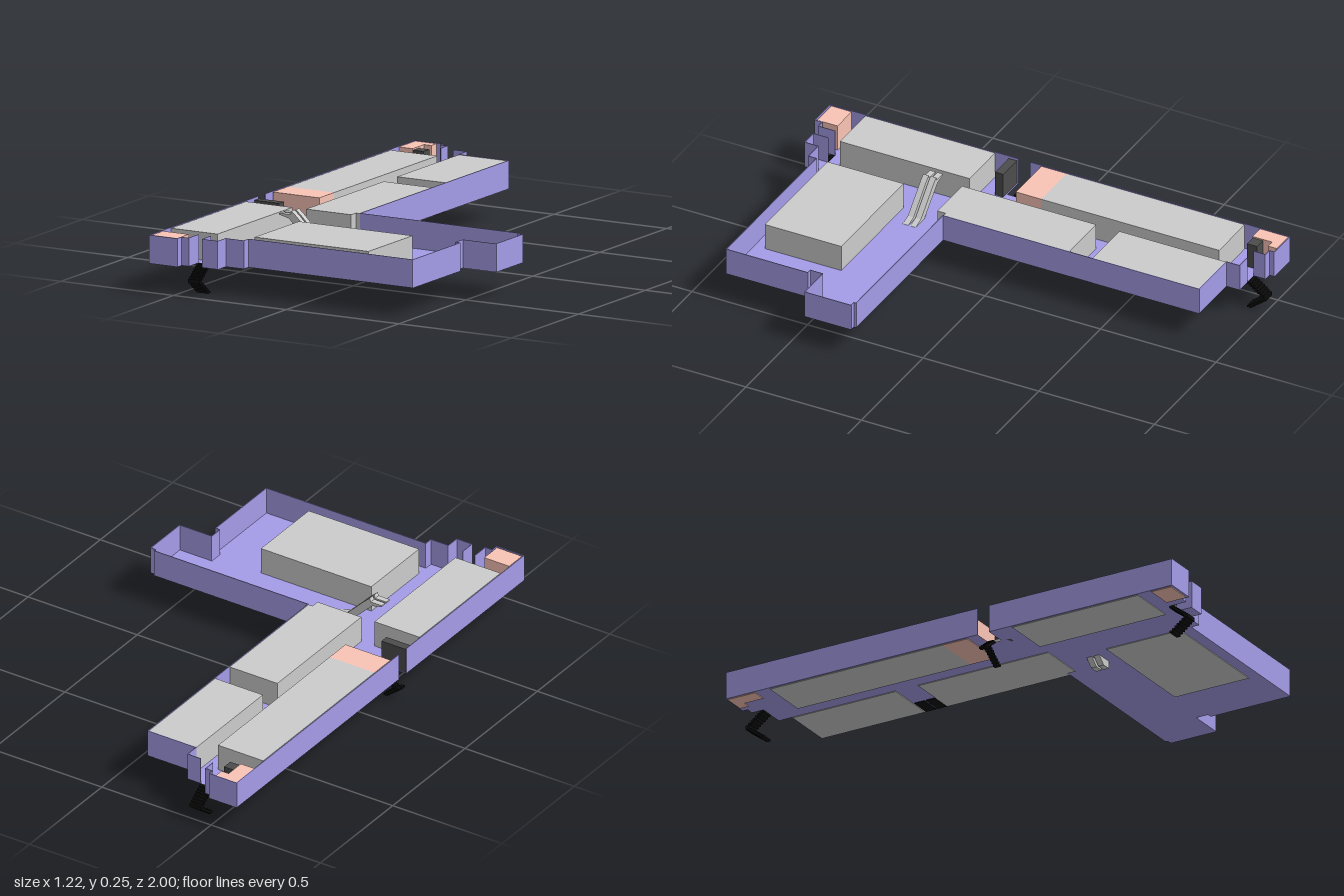
import * as THREE from 'three';

const FLOOR = 0.112, TOP = 0.223;
const mat = (color, side = THREE.FrontSide) => new THREE.MeshStandardMaterial({ color, side, flatShading: true });
const grey = mat(0xcccccc), dark = mat(0x4c4c4c), black = mat(0x0c0c0c);
const salmon = mat(0xfac4b6), purple = mat(0xa59ce8, THREE.DoubleSide);

export function createModel() {
  const model = new THREE.Group();
  const add = (name, geometry, material, parent = model) => {
    const mesh = new THREE.Mesh(geometry, material);
    mesh.name = name;
    parent.add(mesh);
    return mesh;
  };
  // Box given by its limits on each axis
  const block = (name, material, x0, x1, z0, z1, y0 = 0.109, y1 = TOP - 0.002, parent = model) =>
    add(name, new THREE.BoxGeometry(x1 - x0, y1 - y0, z1 - z0)
      .translate((x0 + x1) / 2, (y0 + y1) / 2, (z0 + z1) / 2), material, parent);
  // Flat outline on the ground plan, as [x, z] corners
  const plan = (points) => new THREE.Shape(points.map(([x, z]) => new THREE.Vector2(x, -z)));

  // Outer wall runs between the three doorways
  const eastRun = [
    [-0.40, -0.92], [-0.34, -0.92], [-0.34, -0.862], [-0.12, -0.862], [-0.12, 0.245],
    [0.585, 0.245], [0.585, 0.255], [0.607, 0.255], [0.607, 0.455], [0.46, 0.455],
    [0.46, 0.51], [0.48, 0.51], [0.48, 0.862], [-0.25, 0.862], [-0.25, 0.897],
    [-0.33, 0.897], [-0.33, 0.955], [-0.40, 0.955], [-0.40, 0.89],
  ];
  const southWestRun = [
    [-0.455, 0.89], [-0.455, 0.963], [-0.487, 0.963], [-0.487, 0.995], [-0.611, 0.995], [-0.611, 0.18],
  ];
  const northWestRun = [
    [-0.611, 0.13], [-0.611, -0.992], [-0.487, -0.992], [-0.487, -0.97], [-0.455, -0.97], [-0.455, -0.92],
  ];

  // Floor slab, notched at the doorways
  const outline = [...eastRun, ...southWestRun, [-0.52, 0.18], [-0.52, 0.13], ...northWestRun];
  add('floor', new THREE.ShapeGeometry(plan(outline)).rotateX(-Math.PI / 2).translate(0, FLOOR, 0), purple);

  const walls = new THREE.Group();
  walls.name = 'outerWalls';
  model.add(walls);
  for (const run of [eastRun, southWestRun, northWestRun]) {
    for (let i = 1; i < run.length; i++) {
      const [ax, az] = run[i - 1], [bx, bz] = run[i];
      const wall = add('wall', new THREE.BoxGeometry(Math.hypot(bx - ax, bz - az), TOP - FLOOR, 0.003), purple, walls);
      wall.position.set((ax + bx) / 2, (TOP + FLOOR) / 2, (az + bz) / 2);
      wall.rotation.y = -Math.atan2(bz - az, bx - ax);
    }
  }

  // Room blocks
  block('westNorthBlock', grey, -0.606, -0.40, -0.80, -0.03);
  block('westSouthBlock', grey, -0.606, -0.40, 0.28, 0.84);
  block('eastNorthBlock', grey, -0.34, -0.122, -0.86, -0.40);
  block('hallBlock', grey, -0.25, 0.255, 0.485, 0.815);
  const solid = (name, points, material) =>
    add(name, new THREE.ExtrudeGeometry(plan(points), { depth: TOP - 0.111, bevelEnabled: false })
      .rotateX(-Math.PI / 2).translate(0, 0.109, 0), material);
  solid('eastMiddleBlock', [[-0.34, -0.30], [-0.122, -0.30], [-0.122, 0.245], [-0.14, 0.245], [-0.14, 0.28], [-0.34, 0.28]], grey);

  // Stair cores
  block('middleCore', salmon, -0.606, -0.40, -0.03, 0.08);
  block('southCore', salmon, -0.606, -0.492, 0.90, 0.988);
  solid('northCore', [[-0.608, -0.988], [-0.515, -0.988], [-0.515, -0.95], [-0.547, -0.95], [-0.547, -0.865], [-0.608, -0.865]], salmon);

  // Lift shafts
  block('westShaft', dark, -0.605, -0.495, 0.185, 0.22, FLOOR, 0.215);
  block('northShaft', dark, -0.547, -0.50, -0.91, -0.867, FLOOR, 0.215);

  // Mat in the east passage, two halves
  block('passageMat', black, -0.21, -0.123, -0.395, -0.35, 0.109, 0.13);
  block('passageMat', black, -0.21, -0.123, -0.344, -0.30, 0.109, 0.13);

  // Twin escalators passing down through the floor
  const side = new THREE.Shape([
    [-0.368, 0.225], [-0.325, 0.215], [-0.22, 0.113], [-0.185, 0.082], [-0.147, 0.082],
    [-0.147, 0.113], [-0.19, 0.125], [-0.29, 0.225], [-0.313, 0.245], [-0.318, 0.231], [-0.368, 0.231],
  ].map((p) => new THREE.Vector2(...p)));
  for (const z of [0.378, 0.41]) {
    add('escalator', new THREE.ExtrudeGeometry(side, { depth: 0.024, bevelEnabled: false }).translate(0, 0, z), grey);
  }

  // Stepped chevrons under the doorways, pointing outward along local +x
  const chevron = (name, x, z, turn, shift) => {
    const group = new THREE.Group();
    group.name = name;
    const n = 7, h = 0.112 / (2 * n), half = shift ? 0.013 : 0.026;
    for (let i = 0; i < 2 * n; i++) {
      const back = i < n ? n - 1 - i : i - n;
      const tip = -back * 0.0105, c = i < n ? -shift : shift;
      block('step', black, tip - 0.017, tip, c - half, c + half, i * h, (i + 1) * h, group);
    }
    group.position.set(x, 0, z);
    group.rotation.y = turn;
    model.add(group);
  };
  chevron('southChevron', -0.428, 0.97, -Math.PI / 2, 0);
  chevron('northChevron', -0.428, -1.0, Math.PI / 2, 0);
  chevron('westChevron', -0.605, 0.156, Math.PI, 0.012);

  return model;
}
